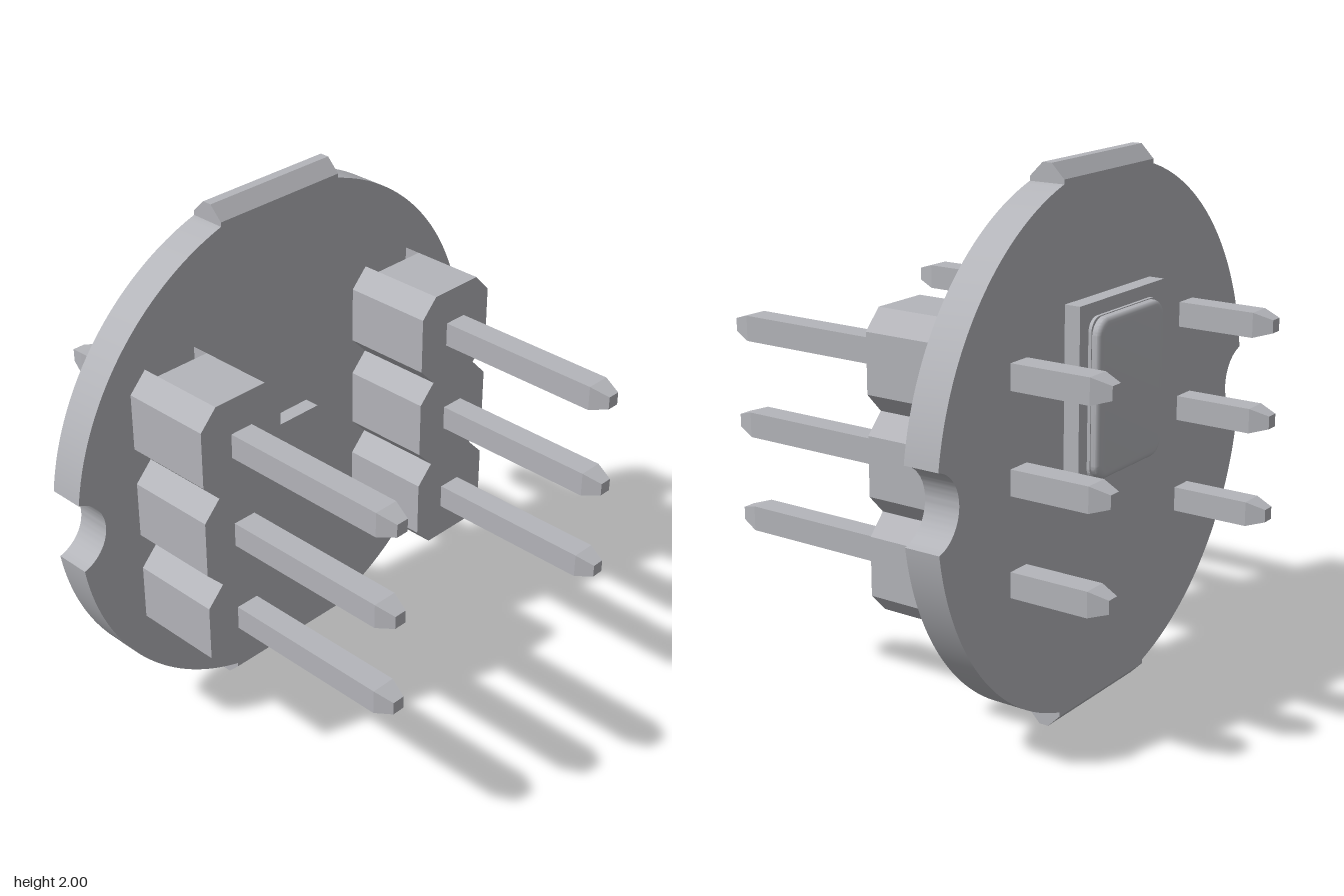
import * as THREE from 'three';
import { toCreasedNormals } from 'three/addons/utils/BufferGeometryUtils.js';

const BACK = -0.42, FRONT = -0.285, CY = 1; // board faces and centre height
const PITCH = 0.356, ROW_X = 0.535;

export function createModel() {
  const model = new THREE.Group();
  model.name = 'sensorBoard';
  const grey = new THREE.MeshStandardMaterial({ color: 0xb4b5ba });
  grey.name = 'plain grey';

  const add = (parent, name, geo, x = 0, y = 0, z = 0) => {
    const mesh = new THREE.Mesh(geo, grey);
    mesh.name = name;
    mesh.position.set(x, y, z);
    parent.add(mesh);
    return mesh;
  };
  const polygon = (pts) => new THREE.Shape(pts.map(([x, y]) => new THREE.Vector2(x, y)));
  const extrude = (shape, depth, options = {}) => toCreasedNormals(
    new THREE.ExtrudeGeometry(shape, { depth, bevelEnabled: false, curveSegments: 24, ...options }), 0.5);
  const box = (parent, name, x0, x1, y0, y1, z0, z1) => add(parent, name,
    new THREE.BoxGeometry(x1 - x0, y1 - y0, z1 - z0), (x0 + x1) / 2, (y0 + y1) / 2, (z0 + z1) / 2);

  // Round board, flat at top and bottom, with a round notch on each side
  const R = 0.975, notch = 0.14;
  const a = Math.acos(0.28 / R);
  const nx = (1 + R * R - notch * notch) / 2, ny = Math.sqrt(R * R - nx * nx);
  const b = Math.atan2(ny, nx), c = Math.atan2(ny, 1 - nx), PI = Math.PI;
  const disc = new THREE.Shape();
  disc.absarc(0, 0, R, b, a, false);
  disc.absarc(0, 0, R, PI - a, PI - b, false);
  disc.absarc(-1, 0, notch, c, -c, true);
  disc.absarc(0, 0, R, PI + b, PI + a, false);
  disc.absarc(0, 0, R, 2 * PI - a, 2 * PI - b, false);
  disc.absarc(1, 0, notch, PI + c, PI - c, true);
  add(model, 'board', extrude(disc, FRONT - BACK), 0, CY, BACK);

  // Bevelled break-off tabs on the flats, extruded along x
  const flat = R * Math.sin(a);
  const half = (FRONT - BACK) / 2, mid = (FRONT + BACK) / 2;
  const tabShape = polygon([[-half, flat], [half, flat], [half, 0.95], [0.018, 1], [-0.018, 1], [-half, 0.95]]);
  const tabGeo = extrude(tabShape, 0.56);
  tabGeo.translate(0, 0, -0.28);
  tabGeo.rotateY(PI / 2);
  add(model, 'topTab', tabGeo, 0, CY, mid);
  add(model, 'bottomTab', tabGeo, 0, CY, mid).rotation.x = PI;

  // Pin headers: scalloped body, stand-off feet and three pins each
  const w = 0.178, n = 0.11, s = 0.107;
  const right = [], feet = [];
  for (let i = -1; i <= 1; i++) {
    const y = i * PITCH;
    right.push([n, y - w], [w, y - s], [w, y + s], [n, y + w]);
    feet.push(y);
  }
  const left = right.map(([x, y]) => [-x, y]).reverse();
  const bodyGeo = extrude(polygon([...right, ...left]), 0.285);
  const footGeo = extrude(polygon([[n, -w], [w, -s], [w, s], [n, w]]), 0.065);

  // Square pin with tapered tips, made from stacked four-sided lathe rings
  const q = Math.SQRT2;
  const pinProfile = [[0, -0.79], [0.024 * q, -0.79], [0.046 * q, -0.72],
    [0.046 * q, 0.72], [0.024 * q, 0.79], [0, 0.79]].map(([r, y]) => new THREE.Vector2(r, y));
  const pinGeo = toCreasedNormals(new THREE.LatheGeometry(pinProfile, 4, PI / 4), 0.1);
  pinGeo.rotateX(PI / 2);

  for (const side of [-1, 1]) {
    const header = new THREE.Group();
    header.name = side > 0 ? 'leftHeader' : 'rightHeader';
    header.position.set(side * ROW_X, CY, 0);
    model.add(header);
    add(header, 'headerBody', bodyGeo, 0, 0, -0.22);
    for (const y of feet) {
      add(header, 'headerFoot', footGeo, 0, y, FRONT);
      add(header, 'headerFoot', footGeo, 0, y, -0.22).rotation.y = PI;
      add(header, 'pin', pinGeo, 0, y, 0);
    }
  }

  // Sensor on the back: square base with a rounded metal lid
  const sensor = new THREE.Group();
  sensor.name = 'sensor';
  model.add(sensor);
  box(sensor, 'sensorBase', -0.27, 0.27, 0.865, 1.535, -0.48, BACK);
  const roundedRect = (hw, hh, r) => {
    const shape = new THREE.Shape();
    shape.absarc(hw - r, hh - r, r, 0, PI / 2, false);
    shape.absarc(r - hw, hh - r, r, PI / 2, PI, false);
    shape.absarc(r - hw, r - hh, r, PI, 1.5 * PI, false);
    shape.absarc(hw - r, r - hh, r, 1.5 * PI, 2 * PI, false);
    return shape;
  };
  add(sensor, 'lidFlange', extrude(roundedRect(0.218, 0.287, 0.05), 0.012), 0, 1.2, -0.492);
  add(sensor, 'lid', extrude(roundedRect(0.19, 0.26, 0.04), 0.01,
    { bevelEnabled: true, bevelThickness: 0.02, bevelSize: 0.024, bevelSegments: 4, curveSegments: 8 }),
  0, 1.2, -0.502);

  // Small side-facing lamp on the front
  const lamp = new THREE.Group();
  lamp.name = 'lamp';
  model.add(lamp);
  box(lamp, 'lampBase', -0.11, 0.11, 1.005, 1.095, FRONT, -0.237);
  box(lamp, 'lampBack', -0.11, 0.11, 1.07, 1.095, -0.237, -0.226);
  box(lamp, 'lampFront', -0.085, 0.085, 1.005, 1.07, -0.237, -0.23);
  const lensGeo = new THREE.CylinderGeometry(0.045, 0.066, 0.05, 24, 1, false, -PI / 2, PI);
  lensGeo.rotateX(PI / 2);
  add(lamp, 'lampLens', lensGeo, 0, 1.005, FRONT + 0.025);

  return model;
}
